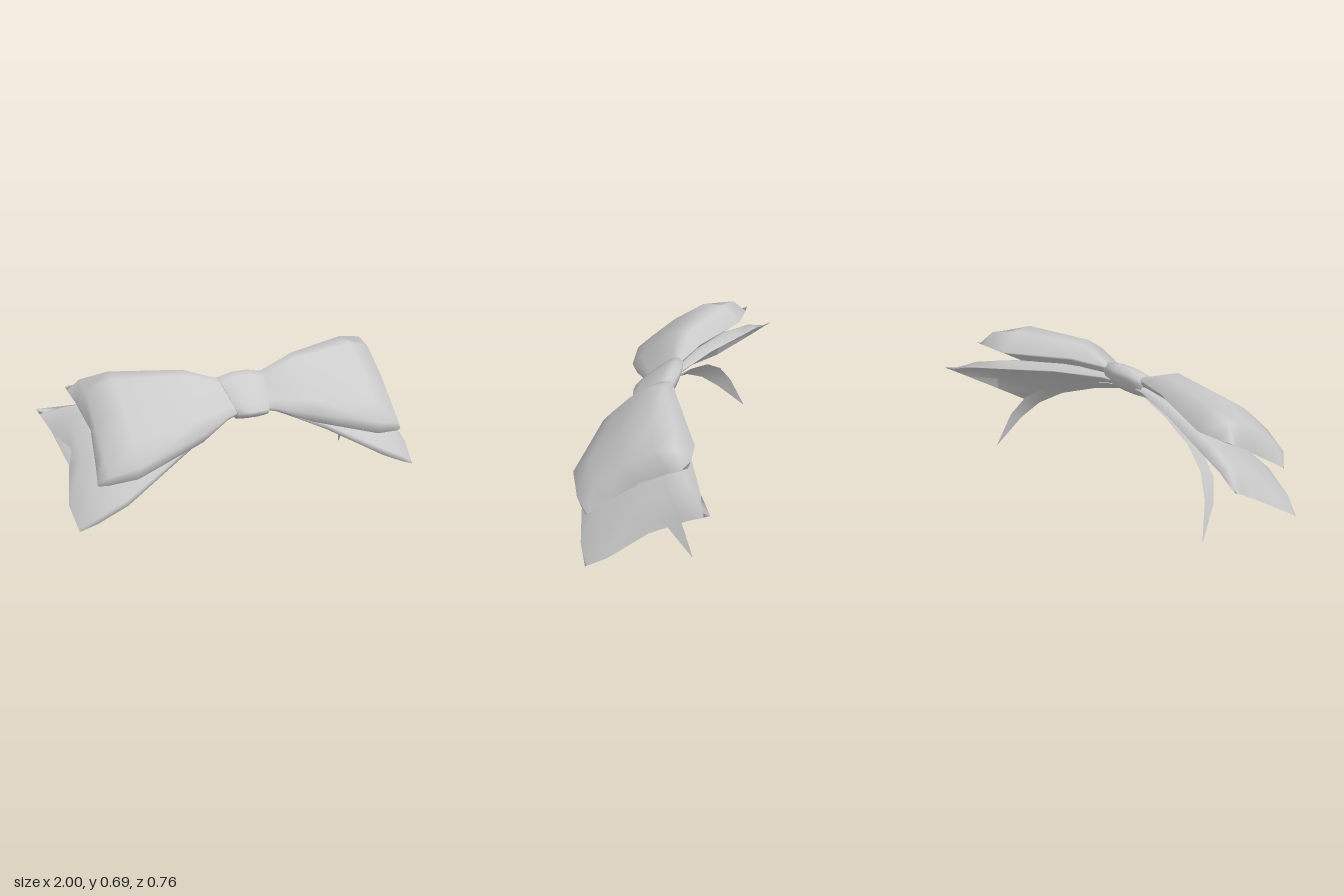
import * as THREE from 'three';

const material = new THREE.MeshStandardMaterial({ color: 0xcccccc, side: THREE.DoubleSide });

// Position across the ribbon (0 = front edge, 1 = back edge) and puffiness there
const ACROSS = [0, 0.02, 0.2, 0.5, 0.8, 0.95, 1];
const PUFF = [0, 0.45, 0.64, 0.9, 1, 0.7, 0];
const UNDER = [0, 0.3, 0.75, 1, 0.75, 0.3, 0];

// Unit direction standing out of the tilted ribbon, as [y, z]
const OUT = [0.83, 0.56];

// A station is { x, front: [y, z], back: [y, z], top, under };
// x is a number, or a list with one value per position across the ribbon.
function section({ x, front, back, top, under }) {
  const point = (i, bulge) => {
    const t = ACROSS[i];
    return [
      Array.isArray(x) ? x[i] : x,
      front[0] + (back[0] - front[0]) * t + OUT[0] * bulge,
      front[1] + (back[1] - front[1]) * t + OUT[1] * bulge,
    ];
  };
  const ring = ACROSS.map((_, i) => point(i, top * PUFF[i]));
  for (let i = ACROSS.length - 2; i > 0; i--) ring.push(point(i, -under * UNDER[i]));
  return ring;
}

// Joins the sections into a smooth skin; side -1 mirrors it with a slight sag
function loft(name, stations, side = 1) {
  const rings = stations.map(section);
  const n = rings[0].length;
  const positions = [];
  const index = [];
  for (const ring of rings) {
    for (const [x, y, z] of ring) {
      const sag = side < 0 ? 0.02 * x : 0;
      positions.push(x * side, y - sag, z + sag);
    }
  }
  for (let r = 0; r < rings.length - 1; r++) {
    for (let j = 0; j < n; j++) {
      const a = r * n + j;
      const b = a + n;
      const c = r * n + ((j + 1) % n);
      const d = c + n;
      if (side > 0) index.push(a, b, c, b, d, c);
      else index.push(a, c, b, b, c, d);
    }
  }
  const geometry = new THREE.BufferGeometry();
  geometry.setAttribute('position', new THREE.Float32BufferAttribute(positions, 3));
  geometry.setIndex(index);
  geometry.computeVertexNormals();
  const mesh = new THREE.Mesh(geometry, material);
  mesh.name = name;
  return mesh;
}

// Puffed upper loop, pinched shut along its notched end
const LOOP = [
  { x: 0.06, front: [0.485, 0.18], back: [0.605, 0.0], top: 0.025, under: 0.03 },
  { x: 0.14, front: [0.467, 0.2], back: [0.62, -0.015], top: 0.035, under: 0.03 },
  { x: 0.31, front: [0.412, 0.285], back: [0.635, -0.08], top: 0.125, under: 0.03 },
  { x: 0.67, front: [0.305, 0.33], back: [0.615, -0.24], top: 0.18, under: 0.015 },
  { x: 0.81, front: [0.28, 0.285], back: [0.62, -0.25], top: 0.12, under: 0 },
  {
    x: [0.855, 0.853, 0.835, 0.81, 0.84, 0.865, 0.87],
    front: [0.27, 0.25], back: [0.62, -0.25], top: 0.008, under: -0.005,
  },
];

// Flatter lower tail, hollow underneath, with a swallow-cut end
const TAIL = [
  { x: 0.04, front: [0.468, 0.15], back: [0.555, 0.0], top: 0.02, under: 0.02 },
  { x: 0.14, front: [0.462, 0.175], back: [0.555, -0.015], top: 0.03, under: 0.025 },
  { x: 0.4, front: [0.343, 0.25], back: [0.545, -0.12], top: 0.06, under: 0.01 },
  { x: 0.72, front: [0.16, 0.305], back: [0.505, -0.25], top: 0.08, under: -0.015 },
  { x: 0.87, front: [0.08, 0.275], back: [0.488, -0.31], top: 0.06, under: -0.015 },
  {
    x: [0.955, 0.957, 0.972, 0.915, 0.955, 0.99, 1],
    front: [0.035, 0.235], back: [0.47, -0.38], top: 0.004, under: -0.004,
  },
];

// Knot, wider toward the back, with its rims turned in
function knot() {
  const rim = (k) => ACROSS.map((t) => k * (0.087 + 0.043 * t));
  const inner = { front: [0.495, 0.165], back: [0.59, 0.02], top: 0.02, under: 0.03 };
  const edge = { front: [0.472, 0.205], back: [0.612, -0.01], top: 0.042, under: 0.07 };
  const middle = { front: [0.472, 0.215], back: [0.625, -0.022], top: 0.05, under: 0.08 };
  return loft('knot', [
    { x: rim(-0.95), ...inner },
    { x: rim(-1), ...edge },
    { x: rim(-0.35), ...middle },
    { x: rim(0.35), ...middle },
    { x: rim(1), ...edge },
    { x: rim(0.95), ...inner },
  ]);
}

// Thin curved band behind the knot, tapering to a point at both ends
function band() {
  // [x, drop behind the knot, half width]
  const half = [
    [0.12, 0.025, 0.058], [0.3, 0.08, 0.066], [0.5, 0.17, 0.07], [0.625, 0.27, 0.064],
    [0.695, 0.39, 0.045], [0.745, 0.585, 0.002],
  ];
  const path = [
    ...half.map(([x, d, w]) => [-x, d, w]).reverse(),
    [0, 0.012, 0.055],
    ...half,
  ];
  const positions = [];
  const index = [];
  path.forEach(([x, drop, w], i) => {
    const y = 0.5 - OUT[0] * drop;
    const z = 0.08 - OUT[1] * drop;
    positions.push(x, y - OUT[1] * w, z + OUT[0] * w);
    positions.push(x, y + OUT[1] * w, z - OUT[0] * w);
    if (i > 0) {
      const a = 2 * i - 2;
      index.push(a, a + 2, a + 1, a + 1, a + 2, a + 3);
    }
  });
  const geometry = new THREE.BufferGeometry();
  geometry.setAttribute('position', new THREE.Float32BufferAttribute(positions, 3));
  geometry.setIndex(index);
  geometry.computeVertexNormals();
  const mesh = new THREE.Mesh(geometry, material);
  mesh.name = 'headBand';
  return mesh;
}

export function createModel() {
  const bow = new THREE.Group();
  bow.name = 'bow';
  for (const [label, side] of [['left', 1], ['right', -1]]) {
    bow.add(loft(`${label}Loop`, LOOP, side));
    bow.add(loft(`${label}Tail`, TAIL, side));
  }
  bow.add(knot(), band());
  return bow;
}
